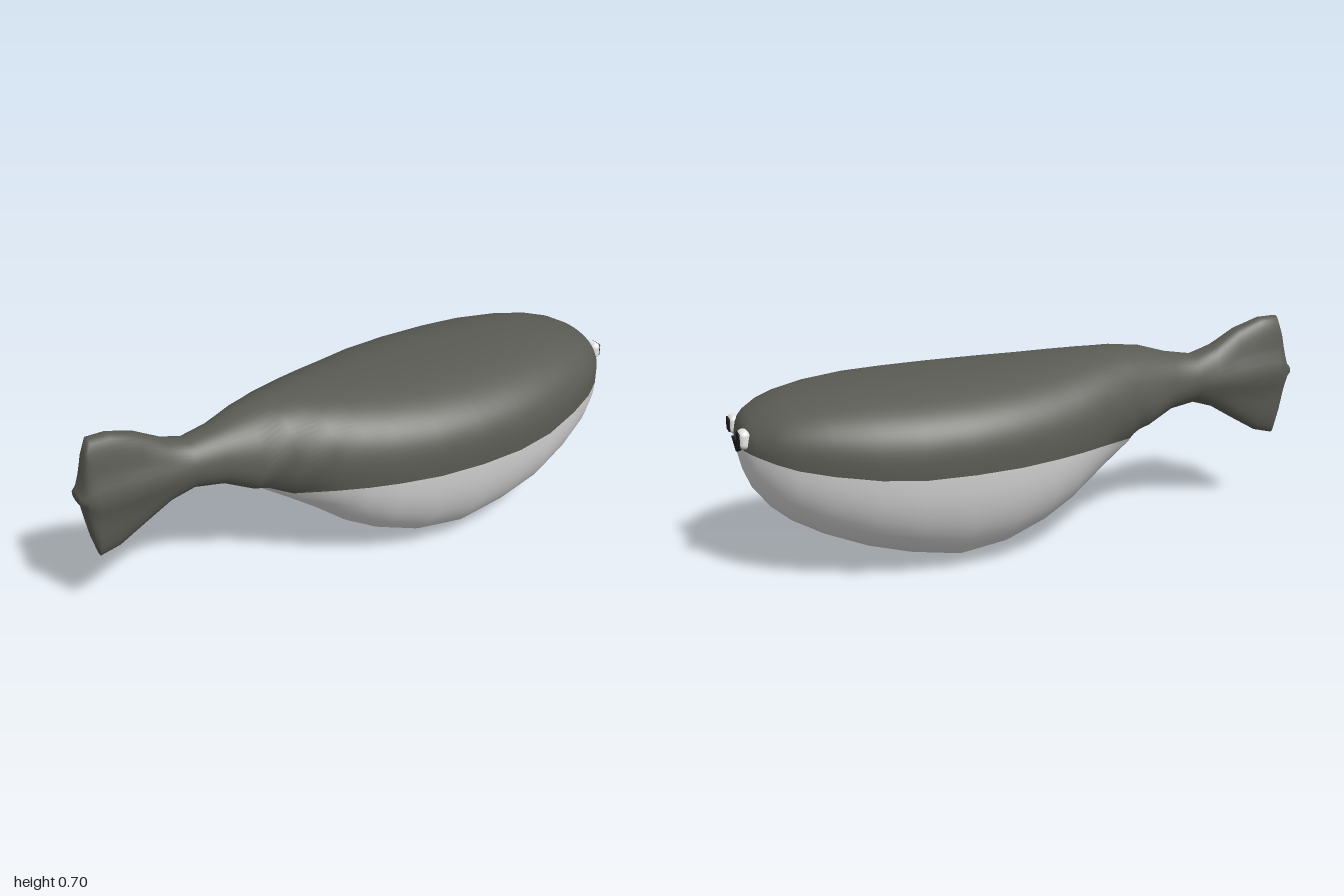
import * as THREE from 'three';
import { mergeVertices } from 'three/addons/utils/BufferGeometryUtils.js';
import { RoundedBoxGeometry } from 'three/addons/geometries/RoundedBoxGeometry.js';

const mat = (name, color) => {
  const m = new THREE.MeshStandardMaterial({ color });
  m.name = name;
  return m;
};

// Linear lookup in a short [x, value] table
function along(table, x) {
  if (x <= table[0][0]) return table[0][1];
  for (let i = 1; i < table.length; i++) {
    const [x0, v0] = table[i - 1], [x1, v1] = table[i];
    if (x <= x1) return v0 + (v1 - v0) * (x - x0) / (x1 - x0);
  }
  return table[table.length - 1][1];
}

// Body stations from tail tip to nose: x, top, bottom, half width
const STATIONS = [
  [-1, 0.5, 0.5, 0], [-1, 0.518, 0.482, 0.022], [-0.985, 0.535, 0.465, 0.03],
  [-0.978, 0.58, 0.4, 0.035], [-0.965, 0.65, 0.33, 0.042], [-0.947, 0.7, 0.265, 0.047],
  [-0.88, 0.698, 0.282, 0.052], [-0.79, 0.668, 0.335, 0.055], [-0.7, 0.615, 0.39, 0.066],
  [-0.62, 0.588, 0.415, 0.08], [-0.52, 0.605, 0.4, 0.1], [-0.42, 0.635, 0.35, 0.14],
  [-0.32, 0.645, 0.295, 0.187], [-0.2, 0.642, 0.21, 0.24], [-0.1, 0.638, 0.13, 0.275],
  [0, 0.633, 0.075, 0.305], [0.14, 0.628, 0.024, 0.338], [0.3, 0.625, 0.001, 0.354],
  [0.46, 0.623, 0.03, 0.35], [0.6, 0.62, 0.07, 0.331], [0.74, 0.608, 0.126, 0.287],
  [0.84, 0.59, 0.18, 0.245], [0.9, 0.572, 0.23, 0.205], [0.95, 0.545, 0.295, 0.152],
  [0.97, 0.526, 0.345, 0.12], [0.98, 0.508, 0.39, 0.098], [0.985, 0.485, 0.415, 0.07],
  [0.986, 0.45, 0.45, 0],
];
const MIDLINE = [[-0.6, 0.5], [-0.3, 0.45], [0, 0.4], [0.6, 0.4], [0.98, 0.45]];
const ROUNDNESS = [[-0.8, 2.6], [-0.62, 2], [-0.3, 2.1], [0.1, 2.45], [0.7, 2.4], [0.98, 2.2]];
const TAIL_RIDGE = [[-1, 0.015], [-0.97, 0.022], [-0.78, 0.022], [-0.62, 0]];
// Height of the line between back and belly colours
const COLOUR_LINE = [[-0.43, 0], [-0.42, 0.35], [-0.32, 0.356], [-0.2, 0.37], [0.1, 0.365],
  [0.5, 0.365], [0.7, 0.385], [0.85, 0.41], [0.98, 0.445]];

function bodyGeometry() {
  const UP = 48, LOW = 28, RING = UP + LOW;
  const pos = [], back = [], belly = [];
  for (const [x, top, bottom, w] of STATIONS) {
    const cy = along(MIDLINE, x), n = along(ROUNDNESS, x), ridge = w ? along(TAIL_RIDGE, x) : 0;
    const line = along(COLOUR_LINE, x) - cy;
    const h = Math.max(1e-6, line > 0 ? top - cy : cy - bottom);
    const t = THREE.MathUtils.clamp(line / h, -1, 1);
    const seam = Math.asin(Math.sign(t) * Math.abs(t) ** (n / 2));
    for (let k = 0; k < RING; k++) {
      // The first part of the ring is the back, the rest is the belly
      const a = k <= UP
        ? seam + (Math.PI - 2 * seam) * k / UP
        : Math.PI - seam + (Math.PI + 2 * seam) * (k - UP) / LOW;
      const c = Math.cos(a), s = Math.sin(a);
      const dy = Math.sign(s) * Math.abs(s) ** (2 / n) * (s > 0 ? top - cy : cy - bottom);
      const z = Math.sign(c) * Math.abs(c) ** (2 / n) * w + c * ridge * Math.exp(-((dy / 0.05) ** 2));
      pos.push(x, cy + dy, z);
    }
  }
  for (let i = 0; i < STATIONS.length - 1; i++) {
    for (let k = 0; k < RING; k++) {
      const k1 = (k + 1) % RING;
      const a = i * RING + k, b = a + RING, d = i * RING + k1, c = d + RING;
      (k < UP ? back : belly).push(a, b, c, a, c, d);
    }
  }
  let geo = new THREE.BufferGeometry();
  geo.setAttribute('position', new THREE.Float32BufferAttribute(pos, 3));
  geo.setIndex([...back, ...belly]);
  geo = mergeVertices(geo, 1e-5);
  geo.clearGroups();
  geo.addGroup(0, back.length, 0);
  geo.addGroup(back.length, belly.length, 1);
  geo.computeVertexNormals();
  return geo;
}

export function createModel() {
  const model = new THREE.Group();
  model.name = 'fish';
  const dark = mat('darkGreyBack', 0x5a5b54);
  const pale = mat('paleBelly', 0xd2d2d2);
  const white = mat('eyeWhite', 0xf0f0f0);
  const black = mat('black', 0x1c1c1c);

  const add = (name, geo, material, parent = model) => {
    const mesh = new THREE.Mesh(geo, material);
    mesh.name = name;
    parent.add(mesh);
    return mesh;
  };

  // Body and tail in one smooth skin
  add('bodyAndTail', bodyGeometry(), [dark, pale]);

  // Eyes on the blunt nose
  for (const side of [1, -1]) {
    const eye = new THREE.Group();
    eye.name = side > 0 ? 'leftEye' : 'rightEye';
    eye.position.set(0.979, 0.482, side * 0.087);
    add('eyeball', new RoundedBoxGeometry(0.036, 0.06, 0.06, 4, 0.017), white, eye);
    add('pupil', new RoundedBoxGeometry(0.008, 0.044, 0.044, 3, 0.0035), black, eye).position.x = 0.017;
    model.add(eye);
  }

  // Triangular mouth between the eyes
  const shape = new THREE.Shape();
  shape.moveTo(-0.078, 0.445);
  shape.quadraticCurveTo(-0.04, 0.428, 0, 0.414);
  shape.quadraticCurveTo(0.04, 0.428, 0.078, 0.445);
  shape.quadraticCurveTo(0, 0.456, -0.078, 0.445);
  const mouth = add('mouth', new THREE.ExtrudeGeometry(shape, { depth: 0.014, bevelEnabled: false }), black);
  mouth.rotation.y = Math.PI / 2;
  mouth.position.x = 0.977;

  return model;
}
